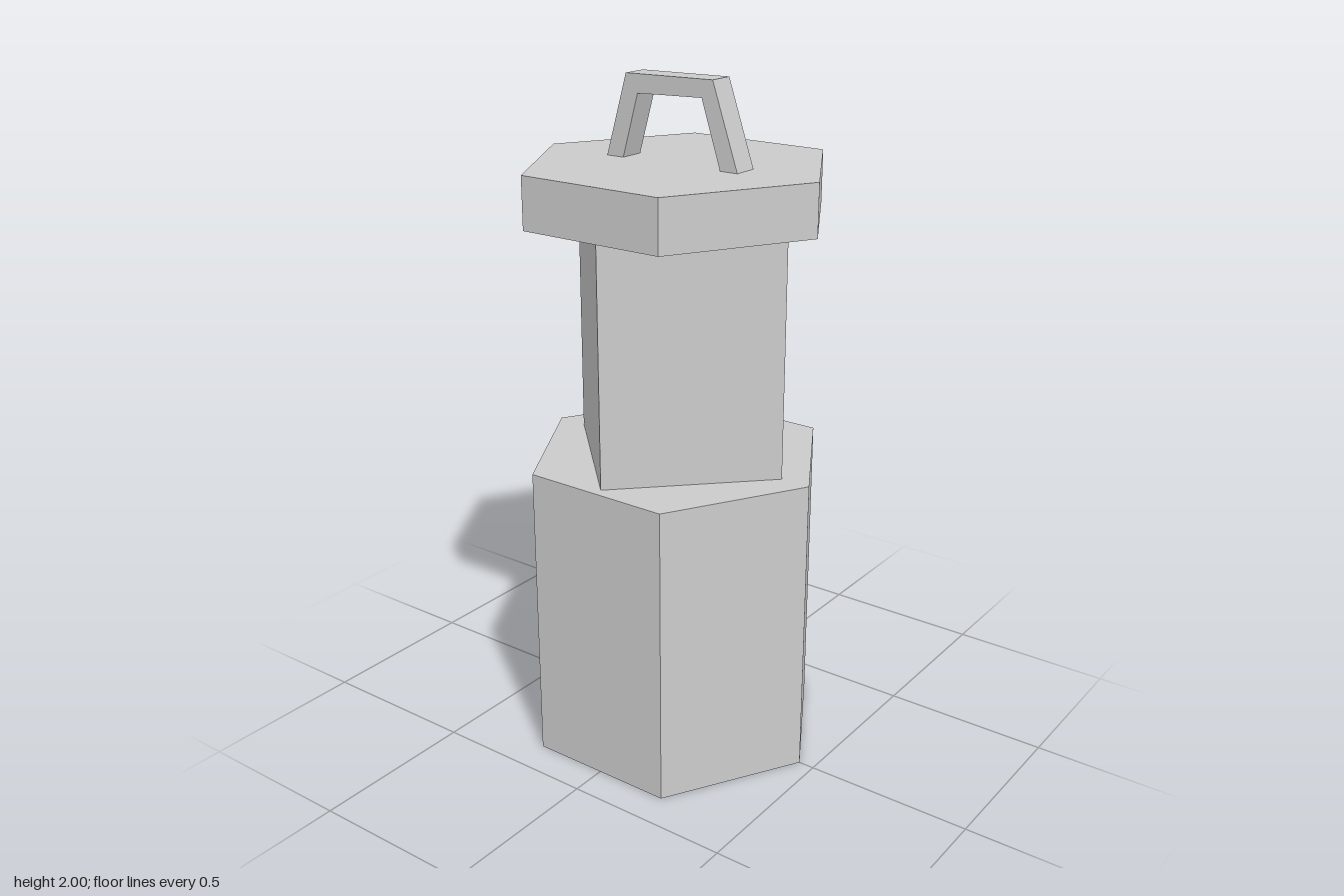
import * as THREE from 'three';

const material = new THREE.MeshStandardMaterial({ color: 0xcccccc, flatShading: true });

// Upright prism with its corners on the x axis, between two heights
function prism(name, sides, radius, bottom, top) {
  const start = Math.PI / 2 - (2 * Math.PI) / sides;
  const geometry = new THREE.CylinderGeometry(radius, radius, top - bottom, sides, 1, false, start);
  const mesh = new THREE.Mesh(geometry, material);
  mesh.name = name;
  mesh.position.y = (bottom + top) / 2;
  return mesh;
}

// Bent strap handle: a trapezoid arch extruded along z
function handle() {
  const depth = 0.077;
  const outline = [
    [-0.22, 1.76], [-0.163, 1.76], [-0.11, 1.943], [0.105, 1.95],
    [0.167, 1.76], [0.223, 1.76], [0.14, 2.0], [-0.15, 1.995],
  ];
  const shape = new THREE.Shape(outline.map(([x, y]) => new THREE.Vector2(x, y)));
  const geometry = new THREE.ExtrudeGeometry(shape, { depth, bevelEnabled: false });
  geometry.translate(0, 0, -depth / 2);
  const mesh = new THREE.Mesh(geometry, material);
  mesh.name = 'handle';
  return mesh;
}

export function createModel() {
  const group = new THREE.Group();
  group.name = 'lantern';
  group.add(
    prism('base', 6, 0.453, 0, 0.905),
    prism('column', 4, 0.363, 0.905, 1.612),
    prism('lid', 6, 0.453, 1.612, 1.762),
    handle(),
  );
  return group;
}
